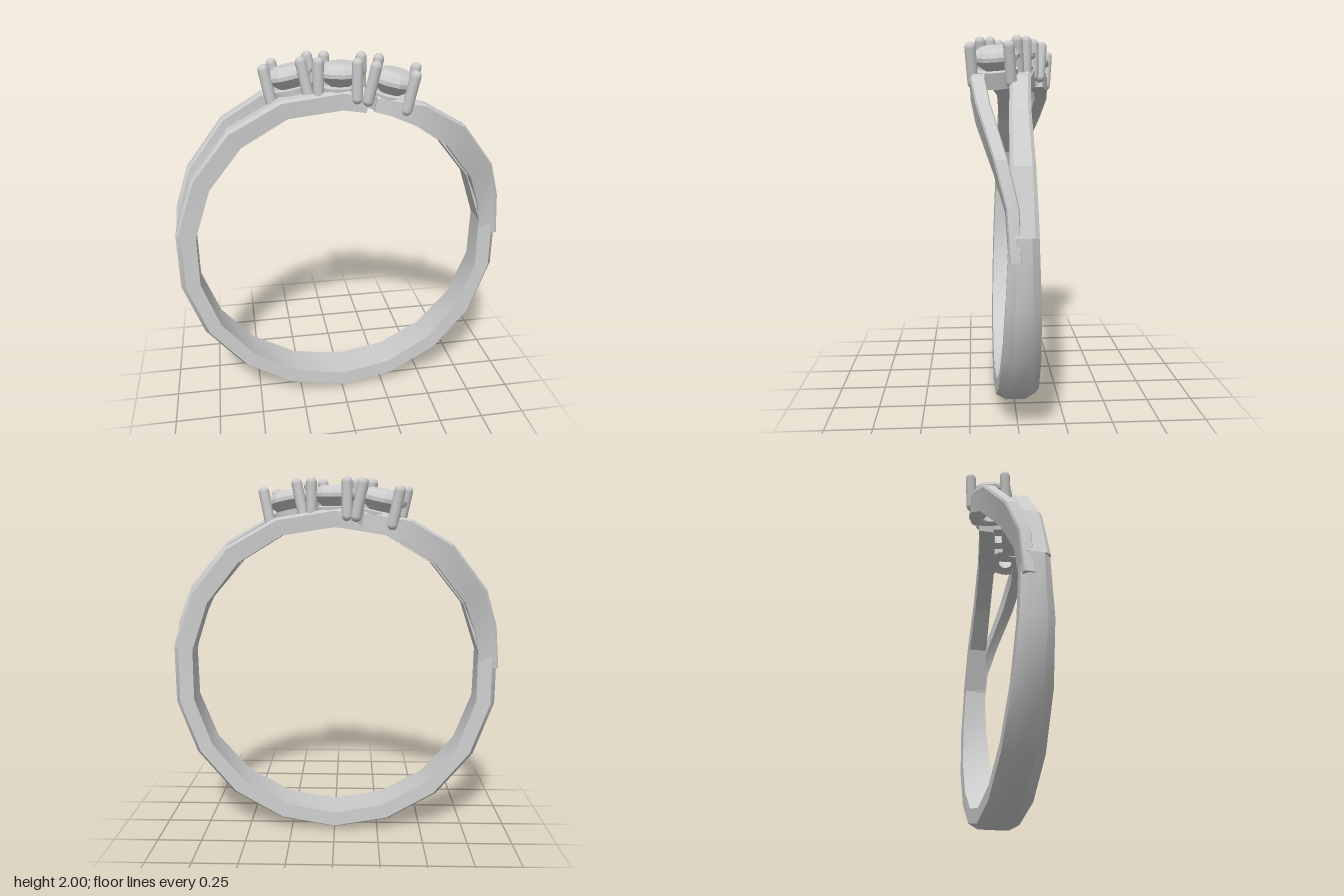
import * as THREE from 'three';
import { toCreasedNormals } from 'three/addons/utils/BufferGeometryUtils.js';

const CENTRE_Y = 0.92;
const metal = new THREE.MeshStandardMaterial({ color: 0xcccccc });
const faceted = new THREE.MeshStandardMaterial({ color: 0xcccccc, flatShading: true });

function addMesh(parent, name, geometry, material = metal) {
  const mesh = new THREE.Mesh(geometry, material);
  mesh.name = name;
  parent.add(mesh);
  return mesh;
}

// Sweeps a bevelled bar round the finger axis.
// Each section: [degrees from the bottom towards -x, zMin, zMax, inner radius, outer radius]
function sweepBar(sections, flat, bevel, crease) {
  const pos = [], index = [], n = 6;
  for (const [deg, z0, z1, rIn, rOut] of sections) {
    const a = THREE.MathUtils.degToRad(deg);
    const c = (z0 + z1) / 2, h = (z1 - z0) / 2;
    const loop = [
      [rOut, -flat], [rOut, flat], [rOut - bevel, 1],
      [rIn, 0.95], [rIn, -0.95], [rOut - bevel, -1],
    ];
    for (const [r, k] of loop) pos.push(-r * Math.sin(a), CENTRE_Y - r * Math.cos(a), c + k * h);
  }
  const last = sections.length - 1;
  for (let i = 0; i < last; i++) {
    for (let j = 0; j < n; j++) {
      const p = i * n + j, q = i * n + (j + 1) % n;
      index.push(p, q, q + n, p, q + n, p + n);
    }
  }
  for (let j = 1; j < n - 1; j++) {
    index.push(0, j + 1, j);
    index.push(last * n, last * n + j, last * n + j + 1);
  }
  const g = new THREE.BufferGeometry();
  g.setAttribute('position', new THREE.Float32BufferAttribute(pos, 3));
  g.setIndex(index);
  return toCreasedNormals(g, crease);
}

// Lower band, wide at the bottom and narrowing up the sides
function lowerBand() {
  const sections = [];
  for (let deg = -100; deg <= 100; deg += 20) {
    const y = CENTRE_Y * (1 - Math.cos(THREE.MathUtils.degToRad(deg)));
    const h = 0.11 - 0.042 * y / 1.08;
    sections.push([deg, -h, h, 0.81, 0.92]);
  }
  return sweepBar(sections, 0.5, 0.03, 0.5);
}

// Split shoulder: a central bar and an outer branch
function shoulder() {
  const group = new THREE.Group();
  addMesh(group, 'centralBar', sweepBar([
    [100, -0.068, 0.068, 0.81, 0.92],
    [120, -0.058, 0.06, 0.815, 0.925],
    [140, -0.05, 0.055, 0.82, 0.93],
    [160, -0.03, 0.075, 0.825, 0.925],
    [180, 0.02, 0.12, 0.82, 0.92],
    [188, 0.05, 0.142, 0.815, 0.91],
  ], 0.7, 0.015, 0.3));
  addMesh(group, 'outerBranch', sweepBar([
    [93, -0.066, -0.01, 0.815, 0.915],
    [108, -0.08, -0.02, 0.815, 0.935],
    [121, -0.13, -0.065, 0.82, 0.955],
    [140, -0.205, -0.135, 0.825, 0.962],
    [155, -0.23, -0.155, 0.83, 0.95],
    [164, -0.22, -0.14, 0.835, 0.925],
    [170, -0.185, -0.1, 0.835, 0.915],
  ], 0.8, 0.012, 0.3));
  return group;
}

const lathe = (points, sides) =>
  new THREE.LatheGeometry(points.map(([x, y]) => new THREE.Vector2(x, y)), sides);

// Stone with its basket and four claws; the origin is at the girdle
function stoneSetting() {
  const group = new THREE.Group();
  addMesh(group, 'stone', lathe([
    [0, -0.11], [0.127, -0.012], [0.127, 0.008], [0.112, 0.028], [0.07, 0.05], [0, 0.053],
  ], 12), faceted);
  addMesh(group, 'basket', toCreasedNormals(lathe([
    [0.04, -0.15], [0.105, -0.15], [0.115, -0.065], [0.085, -0.06], [0.04, -0.15],
  ], 20), 0.6));
  const claw = new THREE.CapsuleGeometry(0.029, 0.172, 5, 10);
  for (const [x, z] of [[-0.122, 0.067], [0.067, 0.122], [0.122, -0.067], [-0.067, -0.122]]) {
    addMesh(group, 'claw', claw).position.set(x, -0.025, z);
  }
  return group;
}

export function createModel() {
  const ring = new THREE.Group();
  ring.name = 'ring';
  addMesh(ring, 'lowerBand', lowerBand());

  // The two shoulders are half-turn copies of each other
  ['rightShoulder', 'leftShoulder'].forEach((name, i) => {
    const part = shoulder();
    part.name = name;
    part.rotation.y = i * Math.PI;
    ring.add(part);
  });

  // Diagonal row of three stones, the outer two leaning outwards
  ['rightSetting', 'middleSetting', 'leftSetting'].forEach((name, i) => {
    const s = i - 1;
    const setting = stoneSetting();
    setting.name = name;
    setting.position.set(0.257 * s, s ? 1.885 : 1.91, 0.103 * s);
    setting.rotation.set(0.08 * s, 0, -0.2 * s);
    ring.add(setting);
  });
  return ring;
}
